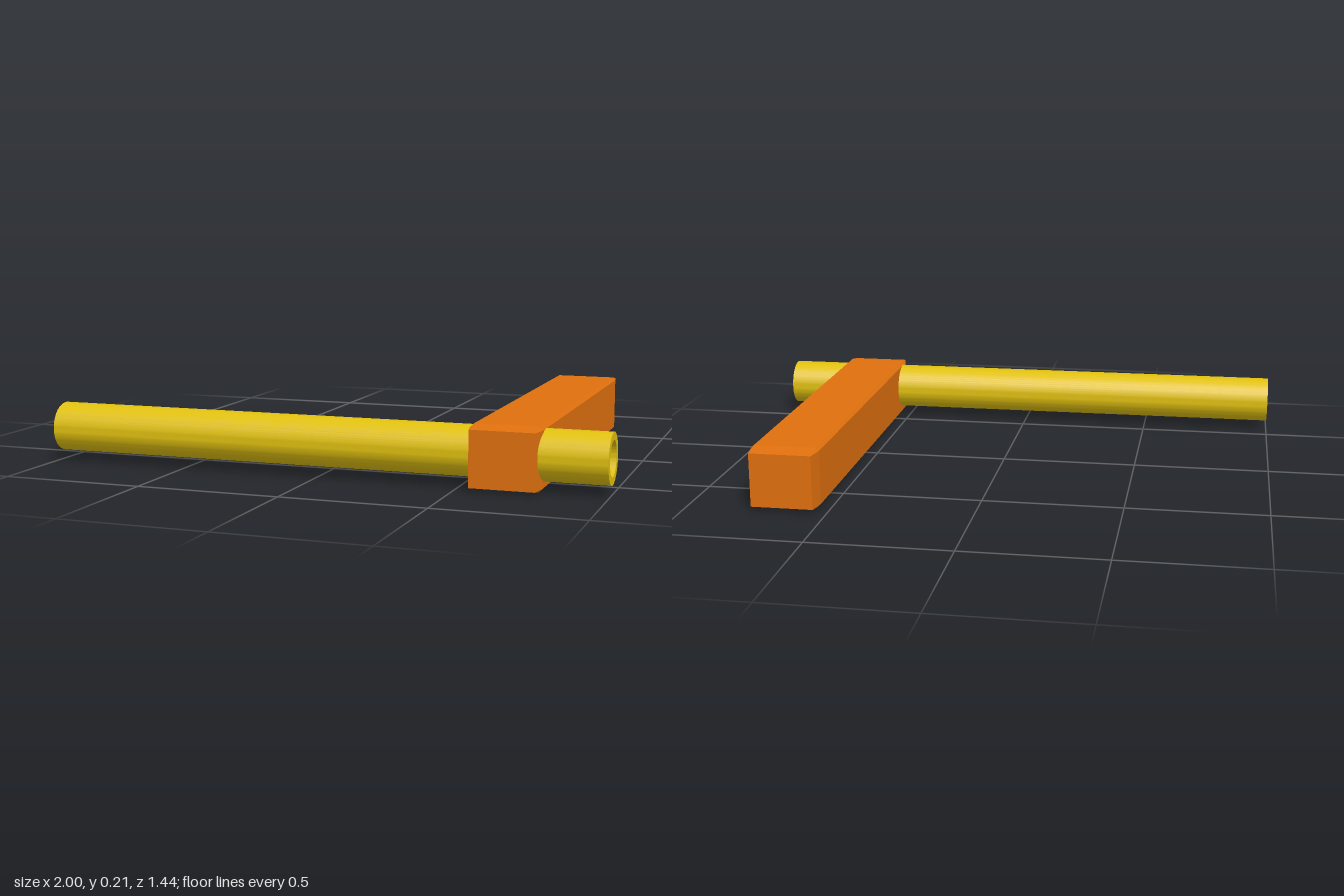
import * as THREE from 'three';
import { toCreasedNormals } from 'three/addons/utils/BufferGeometryUtils.js';
import { ConvexGeometry } from 'three/addons/geometries/ConvexGeometry.js';

// Box with every edge chamfered: each face is inset by the bevel of the other axes
function chamferedBox(half, bevel) {
  const points = [];
  for (const sx of [-1, 1]) for (const sy of [-1, 1]) for (const sz of [-1, 1]) {
    const sign = [sx, sy, sz];
    for (let face = 0; face < 3; face++) {
      const p = sign.map((s, i) => s * (half[i] - (i === face ? 0 : bevel[i])));
      points.push(new THREE.Vector3(...p));
    }
  }
  return new ConvexGeometry(points);
}

// Hollow pipe along x, centred on its own origin
function pipe(outer, inner, length) {
  const ring = new THREE.Shape().absarc(0, 0, outer, 0, Math.PI * 2, false);
  ring.holes.push(new THREE.Path().absarc(0, 0, inner, 0, Math.PI * 2, true));
  const geometry = new THREE.ExtrudeGeometry(ring, { depth: length, bevelEnabled: false, curveSegments: 32 });
  geometry.translate(0, 0, -length / 2).rotateY(Math.PI / 2);
  return toCreasedNormals(geometry, Math.PI / 5);
}

export function createModel() {
  const yellow = new THREE.MeshStandardMaterial({ color: 0xe0c010 });
  yellow.name = 'yellow';
  const orange = new THREE.MeshStandardMaterial({ color: 0xe0700e });
  orange.name = 'orange';

  const model = new THREE.Group();
  model.name = 'pipeAndBar';

  // Long hollow pipe running left to right
  const tube = new THREE.Mesh(pipe(0.087, 0.06, 2), yellow);
  tube.name = 'pipe';
  tube.position.set(0, 0.117, 0.616);
  model.add(tube);

  // Solid bar crossing the pipe, tapered at both ends
  const bar = new THREE.Mesh(chamferedBox([0.121, 0.107, 0.721], [0.011, 0.011, 0.065]), orange);
  bar.name = 'bar';
  bar.position.set(0.659, 0.107, 0);
  model.add(bar);

  return model;
}
